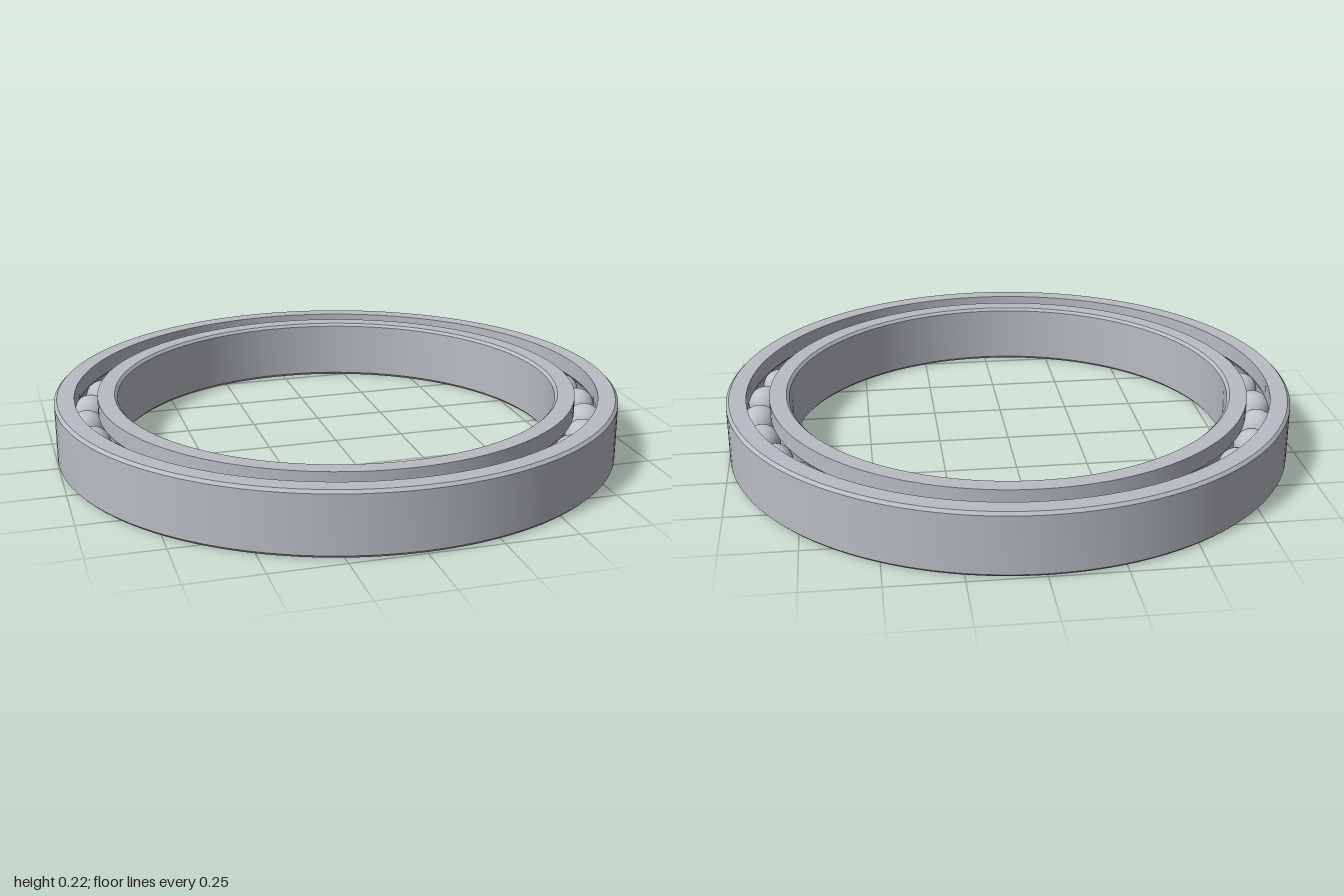
import * as THREE from 'three';
import { toCreasedNormals } from 'three/addons/utils/BufferGeometryUtils.js';

const HEIGHT = 0.22, MID = HEIGHT / 2, CHAMFER = 0.01;
const PITCH = 0.89, GROOVE = 0.064, BALL = 0.062, BALLS = 33;

// Points of the ball groove in a wall 0.04 from the pitch circle.
function groove(centreAngle, sweep) {
  const half = Math.acos(0.04 / GROOVE);
  return Array.from({ length: 11 }, (_, i) => {
    const a = centreAngle + sweep * half * (1 - i / 5);
    return new THREE.Vector2(PITCH + GROOVE * Math.cos(a), MID + GROOVE * Math.sin(a));
  });
}

// Closed profile turned round the axis, keeping the chamfers sharp.
function ring(name, points, material) {
  const geometry = new THREE.LatheGeometry([...points, points[0].clone()], 128);
  const mesh = new THREE.Mesh(toCreasedNormals(geometry, 0.5), material);
  mesh.name = name;
  return mesh;
}

export function createModel() {
  const model = new THREE.Group();
  model.name = 'ballBearing';
  const ringSteel = new THREE.MeshStandardMaterial({ color: 0xb8bcc2 });
  ringSteel.name = 'ring steel';
  const ballSteel = new THREE.MeshStandardMaterial({ color: 0xbec1c4 });
  ballSteel.name = 'ball steel';
  const p = (x, y) => new THREE.Vector2(x, y);

  // Outer race: chamfered outside, grooved inside
  model.add(ring('outerRace', [
    p(0.93, 0), p(1 - CHAMFER, 0), p(1, CHAMFER),
    p(1, HEIGHT - CHAMFER), p(1 - CHAMFER, HEIGHT), p(0.93, HEIGHT),
    ...groove(0, 1),
  ], ringSteel));

  // Inner race: chamfered bore, grooved outside
  model.add(ring('innerRace', [
    p(0.78 + CHAMFER, 0), p(0.85, 0),
    ...groove(Math.PI, 1),
    p(0.85, HEIGHT), p(0.78 + CHAMFER, HEIGHT),
    p(0.78, HEIGHT - CHAMFER), p(0.78, CHAMFER),
  ], ringSteel));

  // Balls spaced evenly between the races, one on +x
  const balls = new THREE.Group();
  balls.name = 'balls';
  const ballGeometry = new THREE.SphereGeometry(BALL, 32, 20);
  for (let i = 0; i < BALLS; i++) {
    const a = (i / BALLS) * Math.PI * 2;
    const ball = new THREE.Mesh(ballGeometry, ballSteel);
    ball.name = 'ball';
    ball.position.set(PITCH * Math.cos(a), MID, PITCH * Math.sin(a));
    balls.add(ball);
  }
  model.add(balls);
  return model;
}
